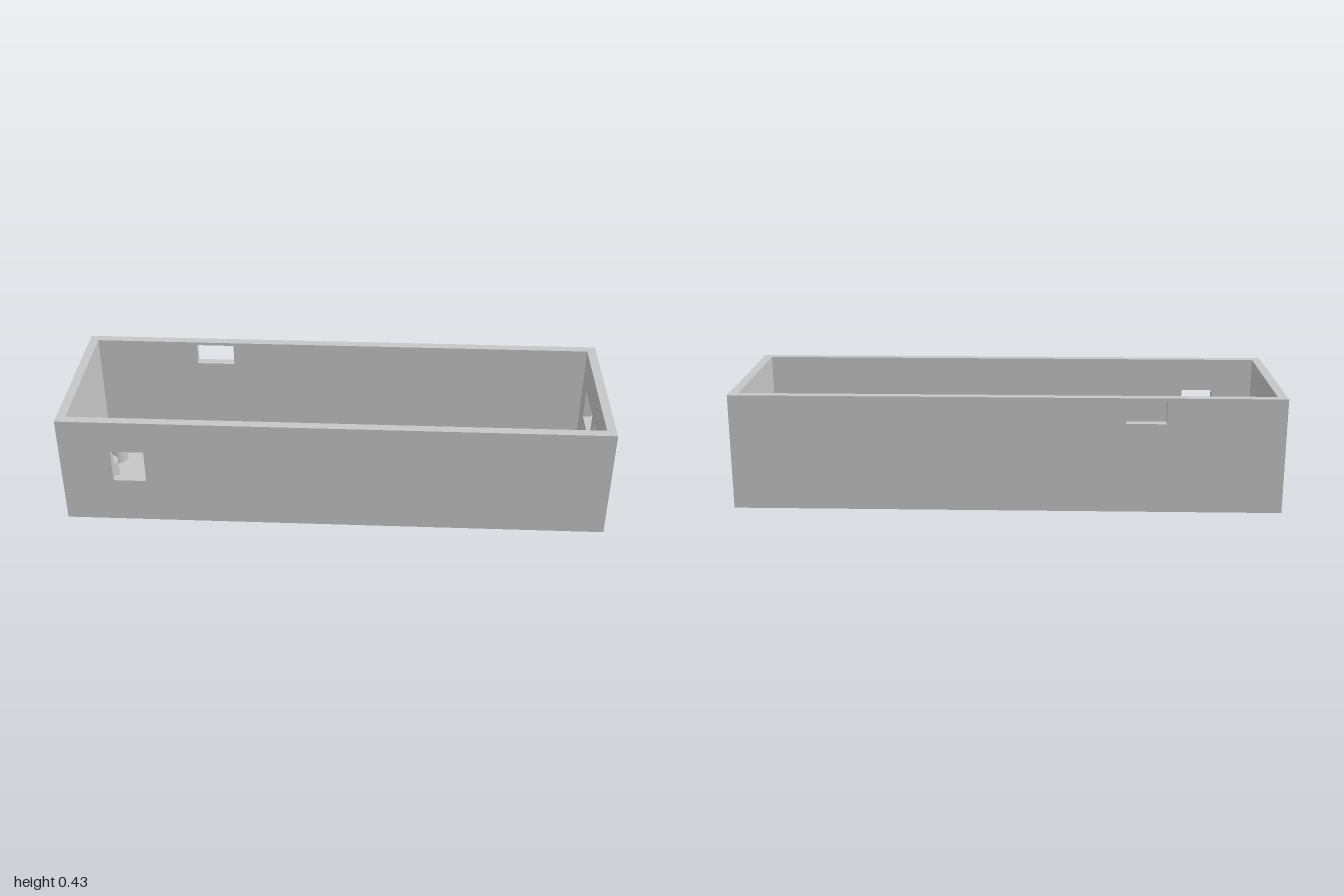
import * as THREE from 'three';

const L = 2, H = 0.428, D = 0.627; // outer size
const WALL = 0.034, FLOOR = 0.035;

// Upright panel with rectangular openings [u0, u1, y0, y1], extruded by the wall thickness
function panel(name, halfWidth, openings, material) {
  const rect = (path, u0, u1, y0, y1) => {
    path.moveTo(u0, y0);
    path.lineTo(u1, y0);
    path.lineTo(u1, y1);
    path.lineTo(u0, y1);
    path.closePath();
    return path;
  };
  const shape = rect(new THREE.Shape(), -halfWidth, halfWidth, FLOOR, H);
  for (const o of openings) shape.holes.push(rect(new THREE.Path(), ...o));
  const mesh = new THREE.Mesh(
    new THREE.ExtrudeGeometry(shape, { depth: WALL, bevelEnabled: false }), material);
  mesh.name = name;
  return mesh;
}

export function createModel() {
  const group = new THREE.Group();
  group.name = 'enclosure';
  const grey = new THREE.MeshStandardMaterial({ color: 0xc6c6c6 });
  grey.name = 'light grey plastic';

  // Floor
  const floor = new THREE.Mesh(new THREE.BoxGeometry(L, FLOOR, D), grey);
  floor.name = 'floor';
  floor.position.y = FLOOR / 2;
  group.add(floor);

  // Long walls, each with one opening
  const front = panel('frontWall', L / 2, [[-0.811, -0.69, 0.176, 0.303]], grey);
  front.position.z = D / 2 - WALL;
  const back = panel('backWall', L / 2, [[-0.573, -0.427, 0.333, 0.416]], grey);
  back.position.z = -D / 2;
  group.add(front, back);

  // End walls: two ports on the +x end, the other end is plain (u runs along -z)
  const halfEnd = D / 2 - WALL;
  const ports = panel('portWall', halfEnd,
    [[-0.163, -0.043, 0.182, 0.302], [0.012, 0.193, 0.182, 0.302]], grey);
  ports.rotation.y = Math.PI / 2;
  ports.position.x = L / 2 - WALL;
  const plain = panel('plainWall', halfEnd, [], grey);
  plain.rotation.y = Math.PI / 2;
  plain.position.x = -L / 2;
  group.add(ports, plain);

  // Hollow standoffs for the circuit board
  const top = 0.157, rOut = 0.036, rIn = 0.02;
  const ring = new THREE.Shape().absarc(0, 0, rOut, 0, Math.PI * 2);
  ring.holes.push(new THREE.Path().absarc(0, 0, rIn, 0, Math.PI * 2, true));
  const standoffGeometry = new THREE.ExtrudeGeometry(ring,
    { depth: top - FLOOR, bevelEnabled: false, curveSegments: 32 });
  standoffGeometry.rotateX(-Math.PI / 2);
  for (const [x, z] of [[-0.872, -0.027], [-0.864, 0.16], [0.754, -0.04], [0.754, 0.175]]) {
    const standoff = new THREE.Mesh(standoffGeometry, grey);
    standoff.name = 'standoff';
    standoff.position.set(x, FLOOR, z);
    group.add(standoff);
  }
  return group;
}
